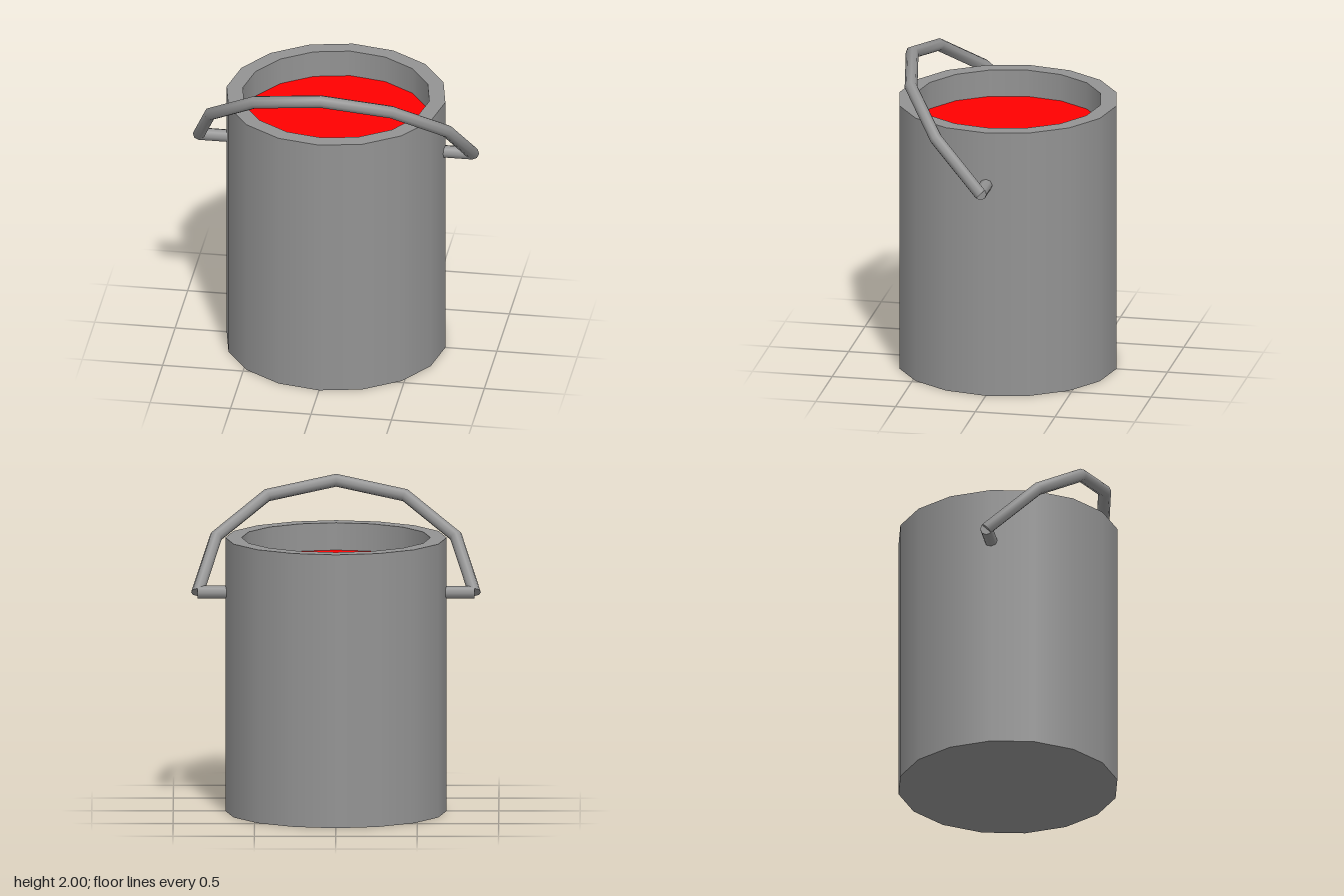
import * as THREE from 'three';
import { mergeGeometries } from 'three/addons/utils/BufferGeometryUtils.js';

const SIDES = 16;
const OUTER = 0.68, INNER = 0.58, HEIGHT = 1.7, FILL = 1.53;
const PIVOT_Y = 1.36, HANDLE_R = 0.85, ROD = 0.04, ROD_SIDES = 8;

export function createModel() {
  const model = new THREE.Group();
  const grey = new THREE.MeshStandardMaterial({ color: 0x939393 });
  const red = new THREE.MeshStandardMaterial({ color: 0xff0000 });

  const add = (name, geometry, material, parent = model) => {
    const mesh = new THREE.Mesh(geometry, material);
    mesh.name = name;
    parent.add(mesh);
    return mesh;
  };

  // Can: base, outer wall, flat rim and inner wall down to the paint.
  // One lathe per band keeps the walls smooth and the rims sharp.
  const profile = [[0, 0], [OUTER, 0], [OUTER, HEIGHT], [INNER, HEIGHT], [INNER, FILL]]
    .map(([r, y]) => new THREE.Vector2(r, y));
  const bands = profile.slice(1).map((p, i) => new THREE.LatheGeometry([profile[i], p], SIDES));
  add('can', mergeGeometries(bands), grey);

  // Paint surface
  const paint = add('paint', new THREE.CircleGeometry(INNER, SIDES), red);
  paint.rotation.x = -Math.PI / 2;
  paint.position.y = FILL;

  // Handle: half ring of six straight lengths, tilted forward about the pegs
  const handle = new THREE.Group();
  handle.name = 'handle';
  handle.position.y = PIVOT_Y;
  handle.rotation.x = Math.PI / 4;
  model.add(handle);
  add('handleBow', new THREE.TorusGeometry(HANDLE_R, ROD, ROD_SIDES, 6, Math.PI), grey, handle);

  for (const [side, s] of [['left', 1], ['right', -1]]) {
    // Cap closing the end of the bow
    const cap = add(side + 'HandleEnd', new THREE.CircleGeometry(ROD, ROD_SIDES), grey, handle);
    cap.rotation.x = Math.PI / 2;
    cap.position.x = s * HANDLE_R;

    // Peg from the can wall to the handle
    const pegStart = 0.63;
    const peg = add(side + 'Peg',
      new THREE.CylinderGeometry(ROD, ROD, HANDLE_R - pegStart, ROD_SIDES), grey);
    peg.rotation.z = Math.PI / 2;
    peg.position.set(s * (HANDLE_R + pegStart) / 2, PIVOT_Y, 0);
  }

  return model;
}
